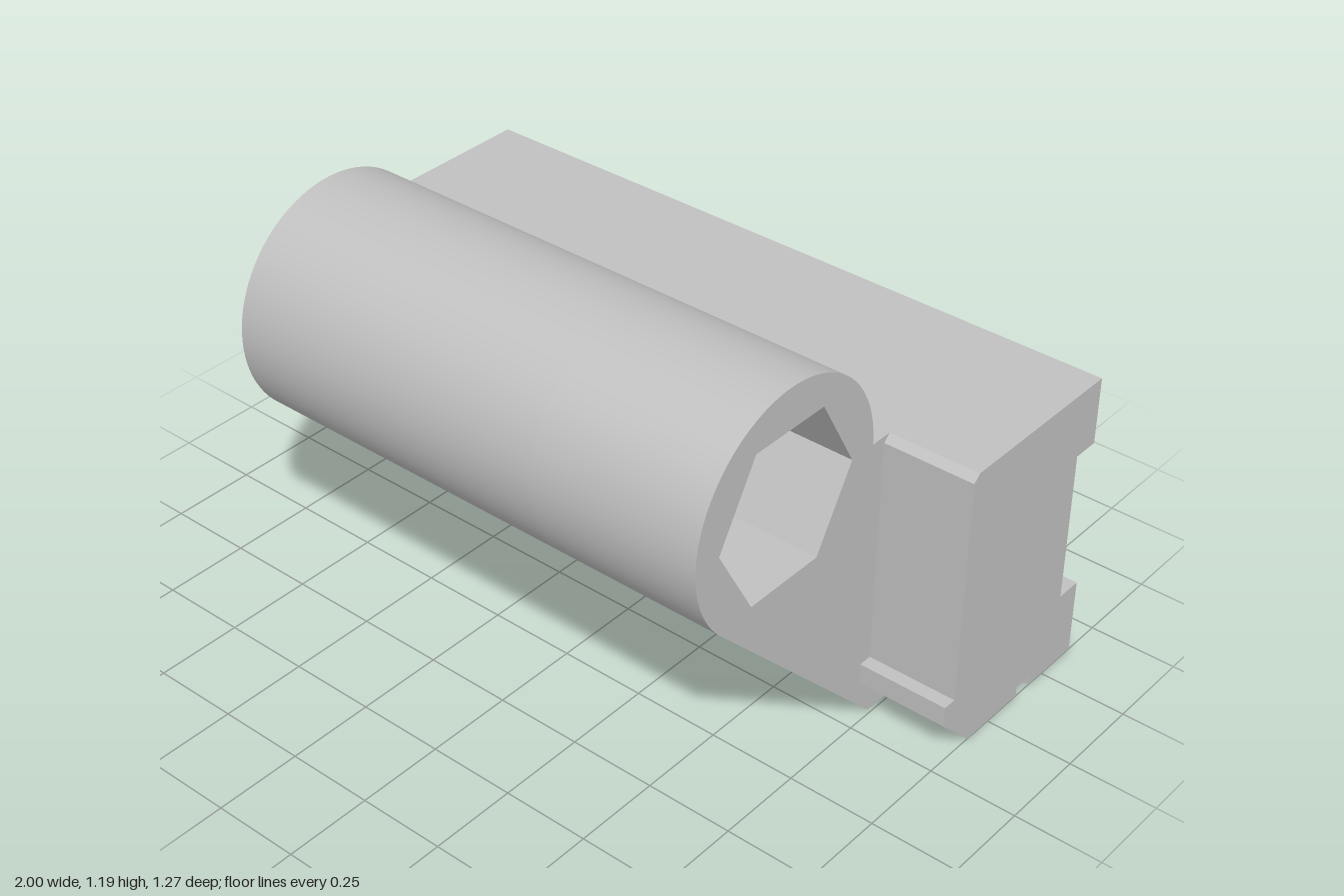
import * as THREE from 'three';
import { toCreasedNormals } from 'three/addons/utils/BufferGeometryUtils.js';

const PIVOT = [-0.3, 0.862]; // barrel axis: u = -z, y
const BARREL_R = 0.333, BORE_R = 0.127, HEX_R = 0.25;
const HINGE_X = 0.74, POCKET_X = 0.24;

// Grooved back edge shared by every section, bottom to top
const BACK = [[0.633, 0], [0.633, 0.223], [0.555, 0.223], [0.555, 0.667], [0.633, 0.667], [0.633, 0.862]];

const outline = (points) => new THREE.Shape(points.map(([u, y]) => new THREE.Vector2(u, y)));

// Rail with the barrel and its 45 degree web
function hingeSection(hole) {
  const s = outline(BACK);
  s.lineTo(PIVOT[0] + BARREL_R, PIVOT[1]);
  s.absarc(...PIVOT, BARREL_R, 0, Math.PI * 1.25, false);
  s.lineTo(0.085, 0);
  s.closePath();
  s.holes.push(hole);
  return s;
}

// Round bore with a pointed roof
function teardropHole() {
  const h = new THREE.Path();
  h.moveTo(PIVOT[0], PIVOT[1] + BORE_R * Math.SQRT2);
  h.absarc(...PIVOT, BORE_R, Math.PI * 0.75, Math.PI * 2.25, false);
  h.closePath();
  return h;
}

// Hexagonal nut pocket
function hexHole() {
  const h = new THREE.Path();
  for (let i = 0; i < 6; i++) {
    const a = (i * Math.PI) / 3;
    const p = [PIVOT[0] + HEX_R * Math.cos(a), PIVOT[1] + HEX_R * Math.sin(a)];
    if (i === 0) h.moveTo(...p);
    else h.lineTo(...p);
  }
  h.closePath();
  return h;
}

// Rail end with chamfers, a front lip and a slot underneath
const endSection = () => outline([
  ...BACK,
  [0.1, 0.862], [0.08, 0.842], [0.08, 0.18], [0.04, 0.18], [0.04, 0.12], [0.16, 0],
  [0.38, 0], [0.38, 0.03], [0.44, 0.03], [0.44, 0],
]);

export function createModel() {
  const group = new THREE.Group();
  group.name = 'hingeBlock';
  const grey = new THREE.MeshStandardMaterial({ color: 0xc0c0c0 });
  grey.name = 'grey';

  // Extrude a section along x between two positions
  const add = (name, shape, x0, x1) => {
    const geo = new THREE.ExtrudeGeometry(shape, { depth: x1 - x0, bevelEnabled: false, curveSegments: 64 });
    geo.translate(0, 0, x0);
    geo.rotateY(Math.PI / 2);
    const mesh = new THREE.Mesh(toCreasedNormals(geo, 0.4), grey);
    mesh.name = name;
    group.add(mesh);
  };

  add('boredBarrel', hingeSection(teardropHole()), -HINGE_X, POCKET_X);
  add('nutPocketBarrel', hingeSection(hexHole()), POCKET_X, HINGE_X);
  add('rightRailEnd', endSection(), -1, -HINGE_X);
  add('leftRailEnd', endSection(), HINGE_X, 1);
  return group;
}
